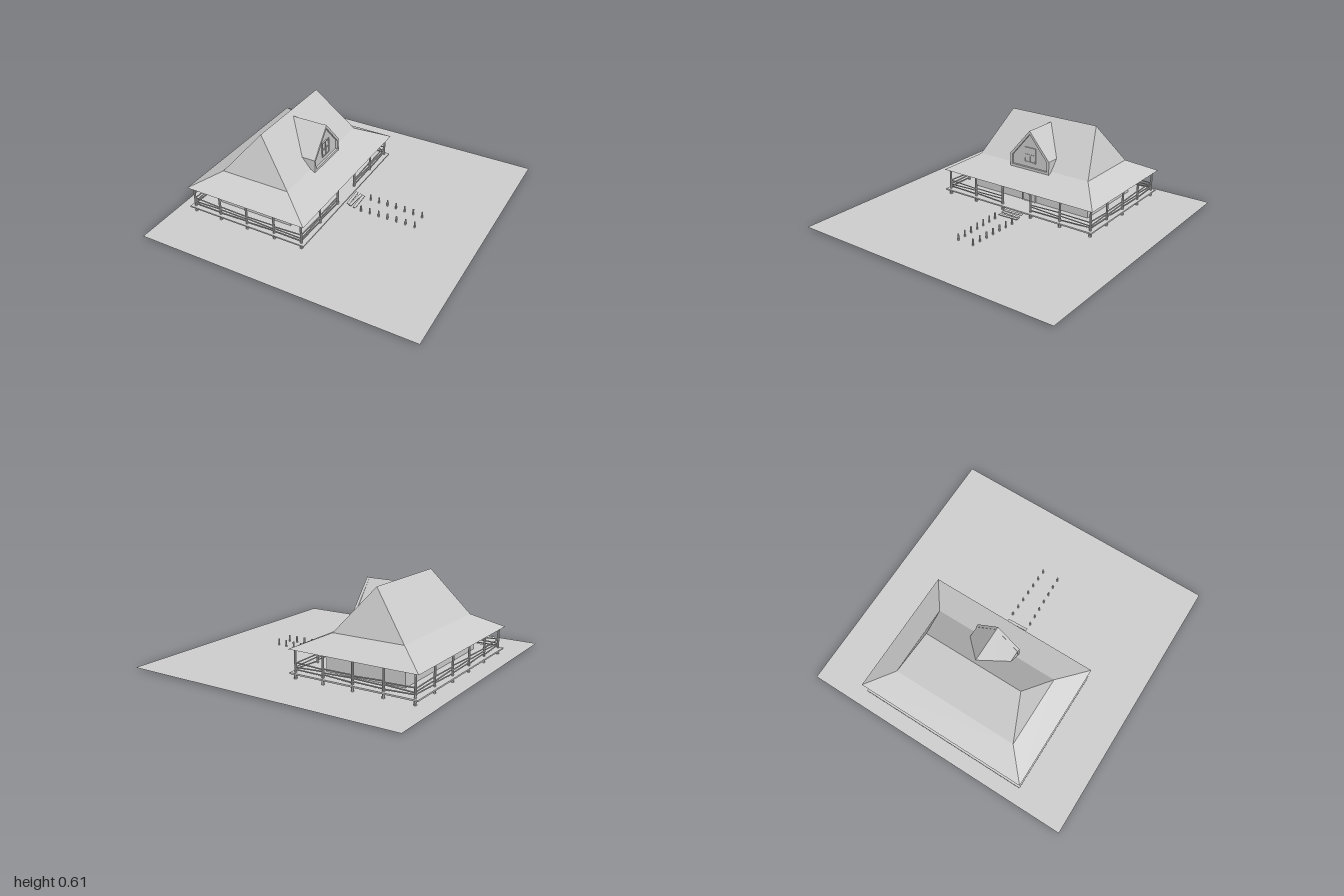
import * as THREE from 'three';

const mat = new THREE.MeshStandardMaterial({ color: 0xcccccc, flatShading: true, side: THREE.DoubleSide });

function add(parent, geometry, name, x = 0, y = 0, z = 0) {
  const mesh = new THREE.Mesh(geometry, mat);
  mesh.name = name;
  mesh.position.set(x, y, z);
  parent.add(mesh);
  return mesh;
}

function box(parent, name, [x0, x1], [y0, y1], [z0, z1]) {
  return add(parent, new THREE.BoxGeometry(x1 - x0, y1 - y0, z1 - z0), name,
    (x0 + x1) / 2, (y0 + y1) / 2, (z0 + z1) / 2);
}

// Round pole between two points
function pole(parent, name, a, b, r, sides = 8) {
  const from = new THREE.Vector3(...a), to = new THREE.Vector3(...b);
  const dir = to.clone().sub(from);
  const mesh = add(parent, new THREE.CylinderGeometry(r, r, dir.length(), sides), name);
  mesh.position.copy(from).add(to).multiplyScalar(0.5);
  mesh.quaternion.setFromUnitVectors(new THREE.Vector3(0, 1, 0), dir.normalize());
  return mesh;
}

// Outline in the z-y plane, extruded along +x from x0 to x1
function extrudeX(parent, name, shape, x0, x1) {
  const geo = new THREE.ExtrudeGeometry(shape, { depth: x1 - x0, bevelEnabled: false, curveSegments: 10 });
  geo.rotateY(Math.PI / 2);
  return add(parent, geo, name, x0);
}

function gableShape(half, bottom, eave, apex) {
  return new THREE.Shape([[-half, bottom], [half, bottom], [half, eave], [0, apex], [-half, eave]]
    .map(p => new THREE.Vector2(...p)));
}

function archShape(half, bottom, top) {
  const s = new THREE.Shape();
  s.moveTo(-half, bottom);
  s.lineTo(half, bottom);
  s.lineTo(half, top - half);
  s.absarc(0, top - half, half, 0, Math.PI);
  s.closePath();
  return s;
}

// Two-pitch hipped roof from rectangles [x0, x1, z0, z1, y]
function roofGeometry(rings) {
  const corners = rings.map(([x0, x1, z0, z1, y]) => [[x0, y, z1], [x1, y, z1], [x1, y, z0], [x0, y, z0]]);
  const pos = [];
  for (let i = 0; i + 1 < corners.length; i++) {
    for (let k = 0; k < 4; k++) {
      const n = (k + 1) % 4, lo = corners[i], hi = corners[i + 1];
      pos.push(...lo[k], ...lo[n], ...hi[n], ...lo[k], ...hi[n], ...hi[k]);
    }
  }
  const geo = new THREE.BufferGeometry();
  geo.setAttribute('position', new THREE.Float32BufferAttribute(pos, 3));
  geo.computeVertexNormals();
  return geo;
}

export function createModel() {
  const model = new THREE.Group();
  model.name = 'porchHouse';

  const ground = add(model, new THREE.PlaneGeometry(2, 2), 'ground', 0, 0.01, 0);
  ground.rotation.x = -Math.PI / 2;

  // House body and main roof
  box(model, 'walls', [-0.735, -0.17], [0.05, 0.285], [-0.485, 0.485]);
  add(model, roofGeometry([
    [-0.9, 0.02, -0.633, 0.63, 0.205],
    [-0.71, -0.2, -0.46, 0.46, 0.305],
    [-0.455, -0.455, -0.357, 0.355, 0.61],
  ]), 'roof');

  // Arched front door with its frame
  const frame = archShape(0.056, 0.055, 0.172);
  frame.holes.push(archShape(0.048, 0.057, 0.164));
  extrudeX(model, 'doorFrame', frame, -0.17, -0.158);
  extrudeX(model, 'door', archShape(0.048, 0.055, 0.164), -0.17, -0.165);

  // Dormer with overhanging gable trim and a four-pane window
  const dormer = new THREE.Group();
  dormer.name = 'dormer';
  model.add(dormer);
  extrudeX(dormer, 'dormerBody', gableShape(0.162, 0.29, 0.383, 0.578), -0.43, -0.18);
  const trim = gableShape(0.165, 0.29, 0.385, 0.58);
  trim.holes.push(gableShape(0.147, 0.308, 0.378, 0.554));
  extrudeX(dormer, 'gableTrim', trim, -0.185, -0.165);
  box(dormer, 'windowPanes', [-0.185, -0.177], [0.345, 0.45], [-0.043, 0.043]);
  for (const z of [-0.043, 0, 0.043])
    box(dormer, 'windowBar', [-0.18, -0.172], [0.343, 0.452], [z - 0.003, z + 0.003]);
  for (const y of [0.345, 0.398, 0.45])
    box(dormer, 'windowBar', [-0.18, -0.172], [y - 0.003, y + 0.003], [-0.046, 0.046]);

  // Porch floor
  const porch = new THREE.Group();
  porch.name = 'porch';
  model.add(porch);
  box(porch, 'deck', [-0.895, 0.015], [0.043, 0.053], [-0.627, 0.627]);

  // Porch posts on thicker footings, placed around the perimeter
  const xs = [-0.865, -0.655, -0.44, -0.225, -0.015];
  const zs = [-0.602, -0.362, -0.12, 0.12, 0.362, 0.602];
  const postAt = (x, z) => {
    pole(porch, 'post', [x, 0.045, z], [x, 0.213, z], 0.008);
    pole(porch, 'footing', [x, 0.001, z], [x, 0.045, z], 0.01);
  };
  for (const x of xs) for (const z of [zs[0], zs[5]]) postAt(x, z);
  for (const z of zs.slice(1, 5)) for (const x of [xs[0], xs[4]]) postAt(x, z);

  // Beams under the eaves
  for (const z of [zs[0], zs[5]]) pole(porch, 'beam', [xs[0], 0.208, z], [xs[4], 0.208, z], 0.006);
  for (const x of [xs[0], xs[4]]) pole(porch, 'beam', [x, 0.208, zs[0]], [x, 0.208, zs[5]], 0.006);

  // Slightly crooked rails, left open at the front entrance
  let count = 0;
  const railing = (a, b) => {
    [0.07, 0.09, 0.112].forEach(y => {
      const tilt = 0.005 * Math.sin(++count * 2.3);
      pole(porch, 'rail', [a[0], y + tilt, a[1]], [b[0], y - tilt, b[1]], 0.0045, 6);
    });
  };
  for (let i = 0; i < 4; i++)
    for (const z of [zs[0], zs[5]]) railing([xs[i], z], [xs[i + 1], z]);
  for (let i = 0; i < 5; i++) {
    railing([xs[0], zs[i]], [xs[0], zs[i + 1]]);
    if (i !== 2) railing([xs[4], zs[i]], [xs[4], zs[i + 1]]);
  }

  // Angled braces over the entrance
  for (const s of [-1, 1])
    pole(porch, 'brace', [xs[4], 0.175, s * 0.12], [xs[4], 0.206, s * 0.088], 0.005, 6);

  // Loose plank steps
  [[0.034, 0.039, 0.05], [0.058, 0.032, -0.06], [0.084, 0.025, 0.04]].forEach(([x, y, turn]) => {
    const step = add(model, new THREE.BoxGeometry(0.02, 0.004, 0.155), 'step', x, y, -0.005);
    step.rotation.set(0, turn, -0.12);
  });

  // Two rows of stakes along the path
  for (let i = 0; i < 7; i++) {
    const x = 0.14 + i * 0.0667;
    pole(model, 'pathStake', [x, 0.003, -0.078 + i * 0.002], [x, 0.056, -0.078 + i * 0.002], 0.006);
    pole(model, 'pathStake', [x, 0.003, 0.069 - i * 0.002], [x, 0.056, 0.069 - i * 0.002], 0.006);
  }
  return model;
}
